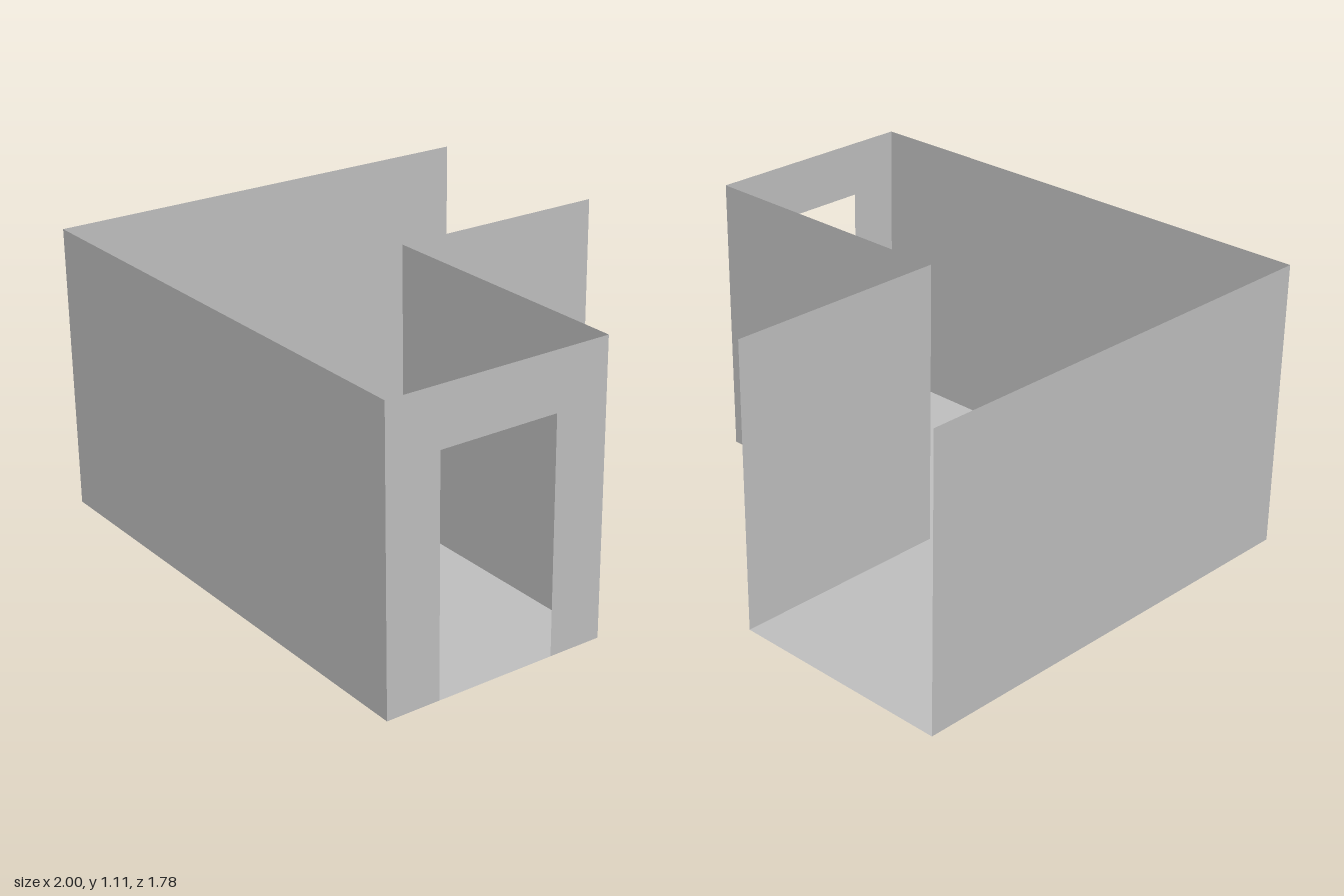
import * as THREE from 'three';

const H = 1.11;   // wall height
const X = 1;      // half width
const Z = 0.89;   // half depth
const IX = -0.11; // inner corner of the L plan
const IZ = 0;

const shapeOf = (pts) => new THREE.Shape(pts.map(([x, y]) => new THREE.Vector2(x, y)));

export function createModel() {
  const model = new THREE.Group();
  model.name = 'roomShell';
  const plaster = new THREE.MeshStandardMaterial({ color: 0xc0c0c0, side: THREE.DoubleSide });
  plaster.name = 'lightGrey';

  const add = (name, geometry) => {
    const mesh = new THREE.Mesh(geometry, plaster);
    mesh.name = name;
    model.add(mesh);
    return mesh;
  };

  // Sheet wall between two plan points; optional doorway [start, end, height] along its length
  const wall = (name, [x0, z0], [x1, z1], door) => {
    const length = Math.hypot(x1 - x0, z1 - z0);
    const pts = [[0, 0]];
    if (door) {
      const [a, b, h] = door;
      pts.push([a, 0], [a, h], [b, h], [b, 0]);
    }
    pts.push([length, 0], [length, H], [0, H]);
    const mesh = add(name, new THREE.ShapeGeometry(shapeOf(pts)));
    mesh.position.set(x0, 0, z0);
    mesh.rotation.y = -Math.atan2(z1 - z0, x1 - x0);
  };

  // L-shaped floor, drawn as (x, -z) and laid flat
  const floor = shapeOf([[-X, -Z], [X, -Z], [X, -IZ], [IX, -IZ], [IX, Z], [-X, Z]]);
  add('floor', new THREE.ShapeGeometry(floor).rotateX(-Math.PI / 2));

  // Walls, each facing outward; the rear end of the wing stays open
  wall('frontWall', [-X, Z], [X, Z]);
  wall('doorWall', [X, Z], [X, IZ], [0.21, 0.68, 0.89]);
  wall('innerBackWall', [X, IZ], [IX, IZ]);
  wall('innerSideWall', [IX, IZ], [IX, -Z]);
  wall('longSideWall', [-X, -Z], [-X, Z]);

  return model;
}
